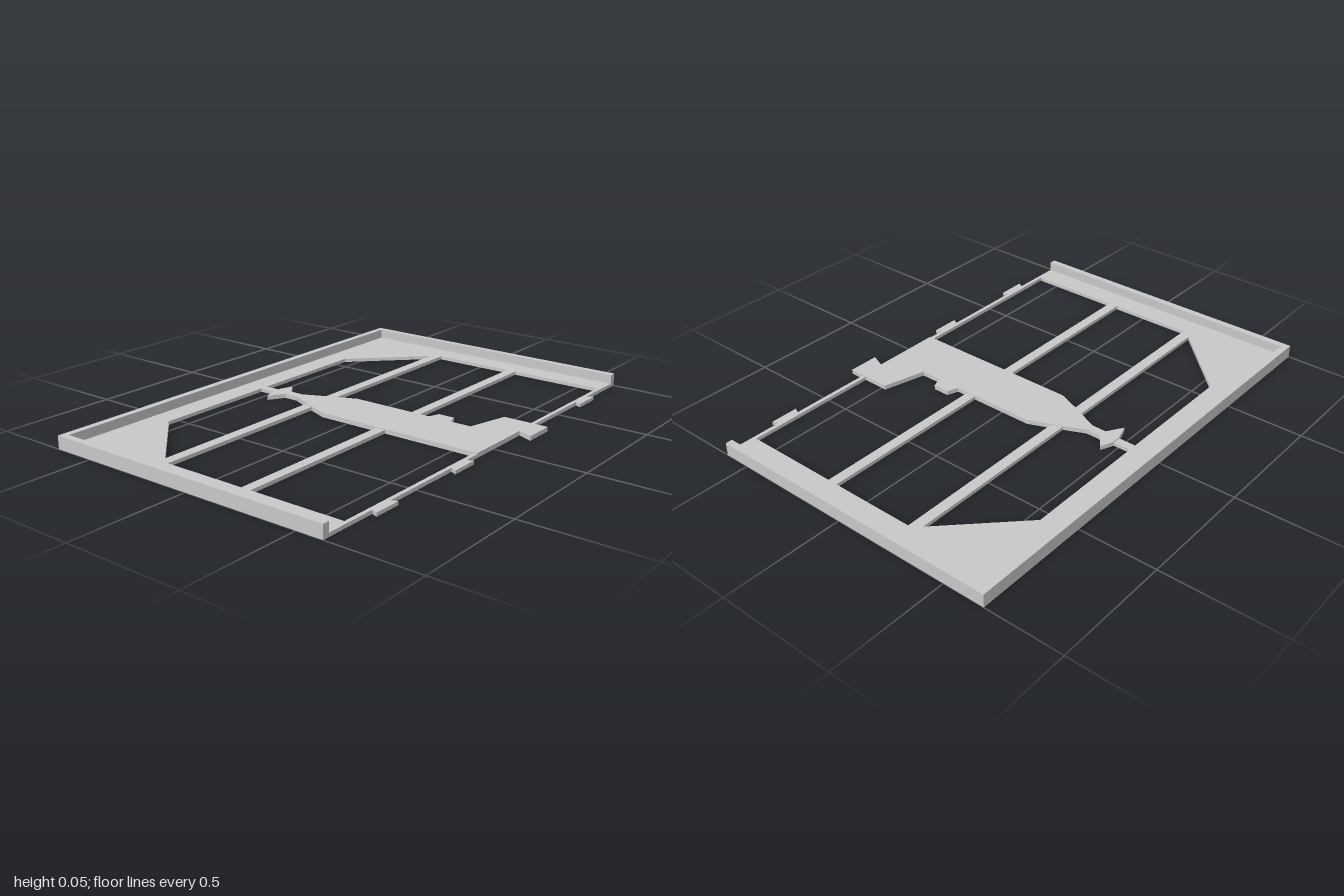
import * as THREE from 'three';

const FLOOR = 0.015, EMBLEM = 0.019, RIM = 0.055;
const EDGE = 0.613; // x of the open, tabbed side

// Extrudes an [x, z] outline upward from the ground, with optional holes.
// Points are reversed so outline and holes both run counter-clockwise.
function slab(name, outline, height, material, holes = []) {
  const toPoints = list => list.map(([x, z]) => new THREE.Vector2(x, -z)).reverse();
  const shape = new THREE.Shape(toPoints(outline));
  for (const hole of holes) shape.holes.push(new THREE.Path(toPoints(hole)));
  const geometry = new THREE.ExtrudeGeometry(shape, { depth: height, bevelEnabled: false });
  geometry.rotateX(-Math.PI / 2);
  const mesh = new THREE.Mesh(geometry, material);
  mesh.name = name;
  return mesh;
}

const rect = (x0, x1, z) => [[x0, -z], [x1, -z], [x1, z], [x0, z]];

export function createModel() {
  const group = new THREE.Group();
  group.name = 'framedTray';
  const grey = new THREE.MeshStandardMaterial({ color: 0xc8c8c8 });
  grey.name = 'grey';

  // Floor panel: openings leave the two cross struts and the thin edge strip
  group.add(slab('floorPanel', rect(-0.676, EDGE, 1), FLOOR, grey, [
    [[-0.552, -0.559], [-0.263, -0.846], [-0.263, 0.846], [-0.552, 0.559]],
    rect(-0.218, 0.145, 0.874),
    rect(0.188, 0.596, 0.874),
  ]));

  // Raised rim on three sides, open on the tabbed side
  group.add(slab('rim', [
    [-0.676, -1], [EDGE, -1], [EDGE, -0.971], [-0.647, -0.971],
    [-0.647, 0.971], [EDGE, 0.971], [EDGE, 1], [-0.676, 1],
  ], RIM, grey));

  // Aircraft silhouette across the middle
  group.add(slab('aircraft', [
    [-0.478, -0.019], [-0.455, -0.075], [-0.413, -0.019], [-0.35, -0.019],
    [-0.218, -0.079], [-0.128, -0.116],
    [0.237, -0.116], [0.254, -0.163], [0.325, -0.163], [0.342, -0.116],
    [0.434, -0.116], [0.48, -0.296], [0.676, -0.296], [0.676, -0.163],
    [EDGE, -0.188], [EDGE, 0.114],
    [-0.128, 0.114], [-0.218, 0.078], [-0.35, 0.018], [-0.413, 0.018],
    [-0.455, 0.085], [-0.478, 0.018],
  ], EMBLEM, grey));

  // Bar joining the nose to the frame
  group.add(slab('noseBar', rect(-0.56, -0.47, 0.018), FLOOR, grey));

  // Dovetail tabs along the open edge; one lies under the tail
  for (const z of [-0.7, -0.238, 0.238, 0.7]) {
    group.add(slab('dovetailTab', [
      [EDGE - 0.002, z - 0.048], [0.638, z - 0.06],
      [0.638, z + 0.06], [EDGE - 0.002, z + 0.048],
    ], FLOOR, grey));
  }
  return group;
}
